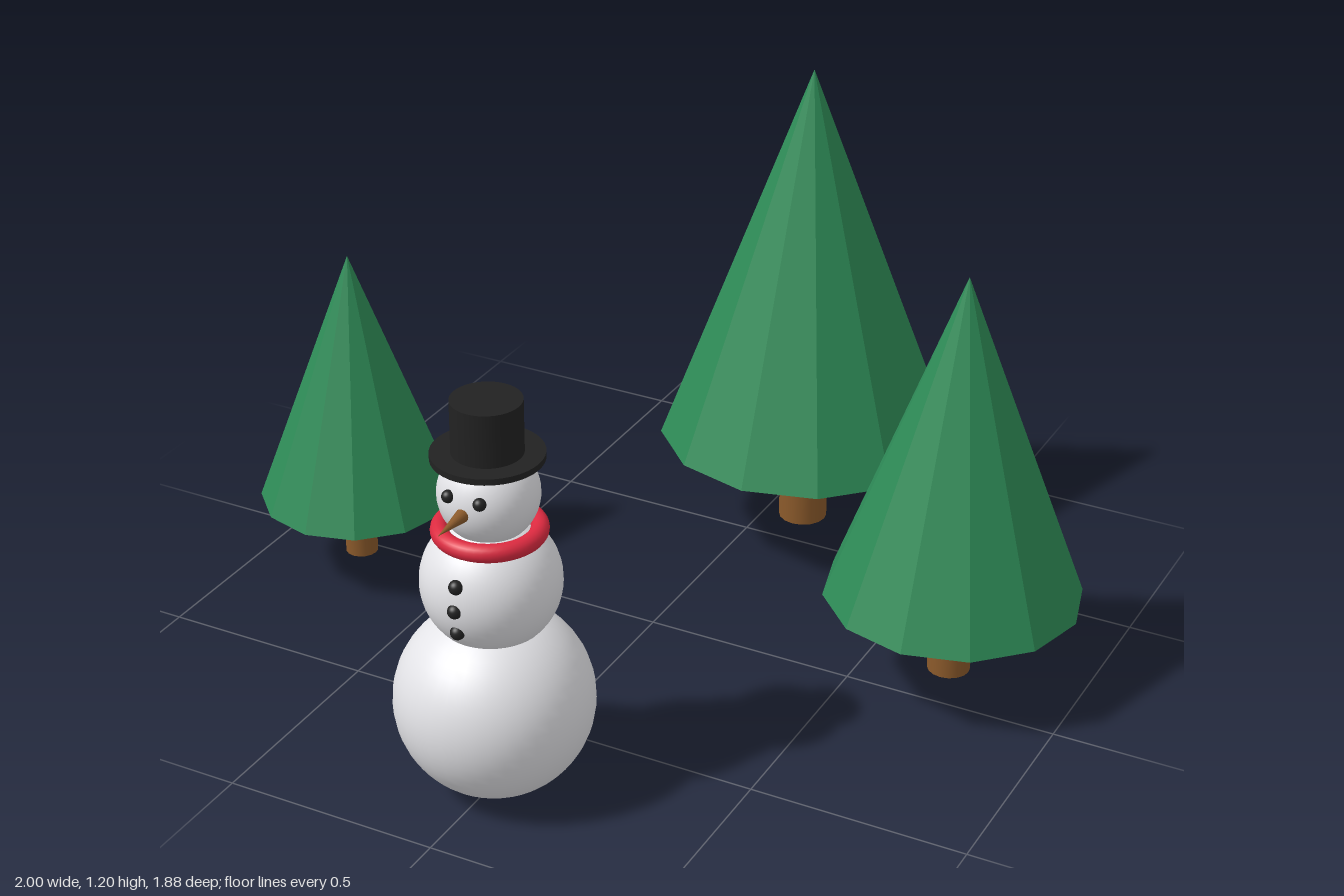
import * as THREE from 'three';

export function createModel() {
  const mat = (name, color, flatShading = false) =>
    Object.assign(new THREE.MeshStandardMaterial({ color, flatShading }), { name });
  const needles = mat('pine green', 0x2e8b57, true);
  const wood = mat('wood brown', 0x8b5a2b);
  const snow = mat('snow white', 0xf4f4f8);
  const coal = mat('coal black', 0x222222);
  const wool = mat('wool red', 0xdc2a40);

  const model = new THREE.Group();
  model.name = 'winterScene';

  function add(parent, name, geometry, material, x, y, z) {
    const mesh = new THREE.Mesh(geometry, material);
    mesh.name = name;
    mesh.position.set(x, y, z);
    parent.add(mesh);
    return mesh;
  }

  // Trees: one design at three scales, trunk foot slightly above zero
  const trees = [
    ['leftBackTree', 0.11, -0.59, 1.2],
    ['largeSideTree', 0.703, -0.109, 1.0],
    ['smallSideTree', -0.766, 0.066, 0.8],
  ];
  for (const [name, x, z, s] of trees) {
    const tree = new THREE.Group();
    tree.name = name === 'leftBackTree' ? 'tallBackTree' : name;
    tree.position.set(x, 0.025, z);
    tree.scale.setScalar(s);
    add(tree, 'trunk', new THREE.CylinderGeometry(0.049, 0.049, 0.2, 16), wood, 0, 0.1, 0);
    add(tree, 'foliage', new THREE.ConeGeometry(0.294, 0.782, 12), needles, 0, 0.591, 0);
    model.add(tree);
  }

  // Snowman
  const snowman = new THREE.Group();
  snowman.name = 'snowman';
  snowman.position.z = 0.724;
  model.add(snowman);
  const ball = (name, r, material, x, y, z) =>
    add(snowman, name, new THREE.SphereGeometry(r, 40, 28), material, x, y, z);

  ball('lowerBody', 0.217, snow, 0, 0.217, 0);
  ball('upperBody', 0.151, snow, 0, 0.508, 0);
  ball('head', 0.108, snow, 0, 0.716, 0);

  // Scarf ring
  add(snowman, 'scarf', new THREE.TorusGeometry(0.104, 0.02, 16, 48), wool, 0, 0.63, 0)
    .rotation.x = Math.PI / 2;

  // Top hat
  add(snowman, 'hatBrim', new THREE.CylinderGeometry(0.12, 0.12, 0.014, 40), coal, 0, 0.804, 0);
  add(snowman, 'hatCrown', new THREE.CylinderGeometry(0.076, 0.076, 0.125, 40), coal, 0, 0.868, 0);

  // Face
  for (const side of [-1, 1]) {
    ball(side > 0 ? 'leftEye' : 'rightEye', 0.014, coal, side * 0.037, 0.744, 0.098);
  }
  add(snowman, 'nose', new THREE.ConeGeometry(0.016, 0.1, 16), wood, 0, 0.713, 0.15)
    .rotation.x = Math.PI / 2;

  // Coat buttons
  [[0.561, 0.139], [0.508, 0.147], [0.453, 0.139]].forEach(([y, z], i) =>
    ball('button' + (i + 1), 0.016, coal, 0, y, z));

  return model;
}
